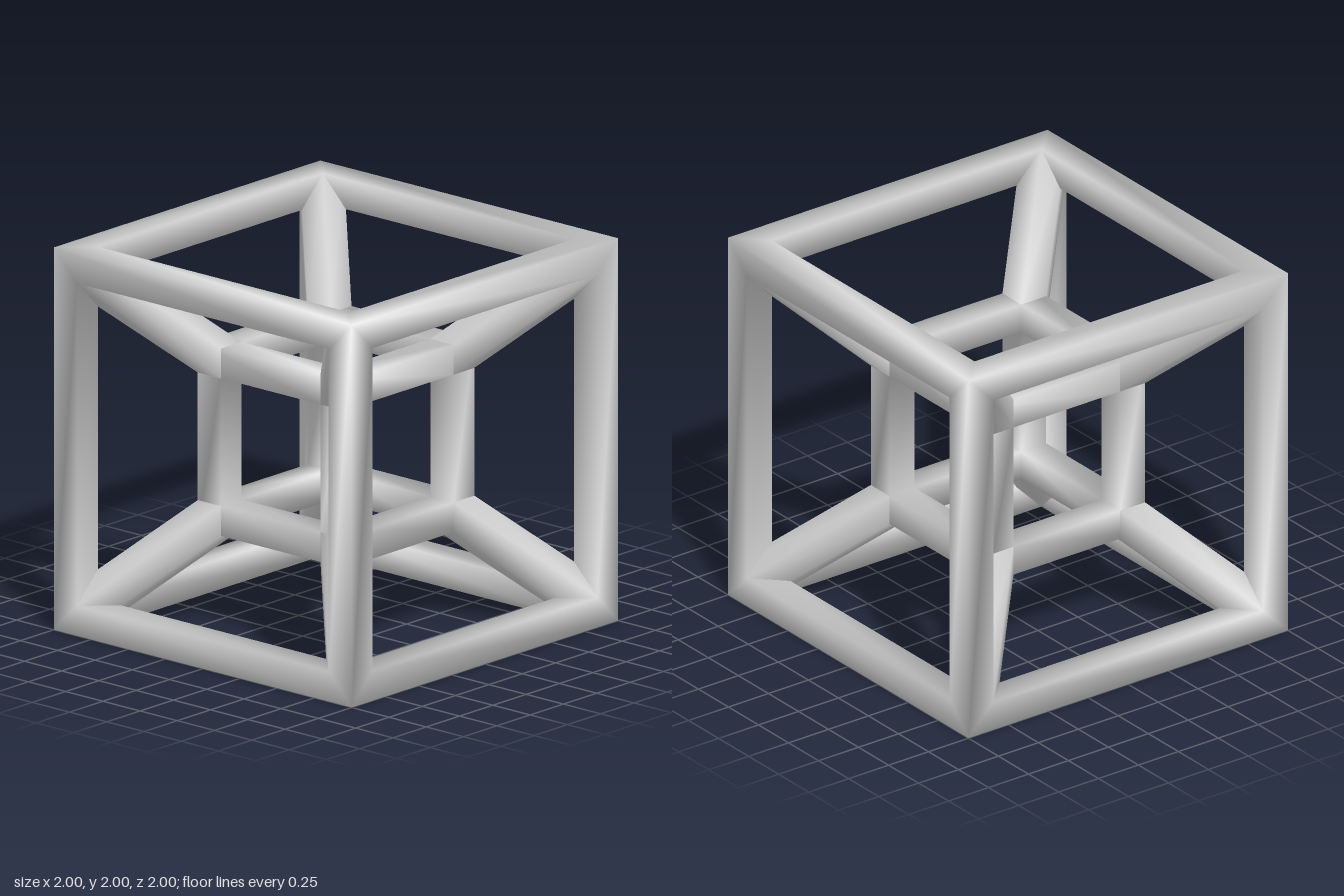
import * as THREE from 'three';
import { mergeVertices } from 'three/addons/utils/BufferGeometryUtils.js';

const BAR = 0.156;      // bar thickness
const OUTER = 1;        // half size of the outer cube
const INNER = 0.49;     // half size of the inner cube
const SIGNS = [-1, 1];

// Adds the side walls between two matching rings, facing outwards
function addWalls(out, ringA, ringB) {
  const n = ringA.length;
  const centre = new THREE.Vector3();
  [...ringA, ...ringB].forEach((p) => centre.addScaledVector(p, 0.5 / n));
  for (let i = 0; i < n; i++) {
    const j = (i + 1) % n;
    const quad = [ringA[i], ringA[j], ringB[j], ringB[i]];
    const normal = quad[2].clone().sub(quad[0]).cross(quad[3].clone().sub(quad[1]));
    const mid = quad[0].clone().add(quad[2]).multiplyScalar(0.5).sub(centre);
    if (normal.dot(mid) < 0) quad.reverse();
    for (const k of [0, 1, 2, 0, 2, 3]) out.push(...quad[k].toArray());
  }
}

// Shared corners give soft shading across the square bars
function smoothGeometry(positions) {
  const geo = new THREE.BufferGeometry();
  geo.setAttribute('position', new THREE.Float32BufferAttribute(positions, 3));
  const merged = mergeVertices(geo, 1e-4);
  merged.computeVertexNormals();
  return merged;
}

// Twelve mitred square bars along the edges of a cube
function cubeFrame(b) {
  const a = b - BAR;
  const out = [];
  for (let axis = 0; axis < 3; axis++) {
    for (const su of SIGNS) for (const sv of SIGNS) {
      const ring = (end) => [[b, b], [a, b], [a, a], [b, a]].map(([u, v], i) => {
        const p = new THREE.Vector3();
        p.setComponent(axis, end * (i === 0 ? b : a));
        p.setComponent((axis + 1) % 3, su * u);
        p.setComponent((axis + 2) % 3, sv * v);
        return p;
      });
      addWalls(out, ring(-1), ring(1));
    }
  }
  return smoothGeometry(out);
}

// Six-sided strut joining matching corners of the two cubes
function strut(sx, sy, sz) {
  const steps = [[1, 0, 0], [1, 1, 0], [0, 1, 0], [0, 1, 1], [0, 0, 1], [1, 0, 1]];
  const ring = (b) => steps.map(([x, y, z]) => new THREE.Vector3(
    sx * (b - BAR + x * BAR), sy * (b - BAR + y * BAR), sz * (b - BAR + z * BAR)));
  const out = [];
  addWalls(out, ring(INNER), ring(OUTER));
  return smoothGeometry(out);
}

export function createModel() {
  const grey = new THREE.MeshStandardMaterial({ color: 0xcccccc });
  grey.name = 'light grey';
  const model = new THREE.Group();
  model.name = 'nestedCubeFrame';
  const add = (geo, name) => {
    const mesh = new THREE.Mesh(geo, grey);
    mesh.name = name;
    mesh.position.y = OUTER;
    model.add(mesh);
  };

  add(cubeFrame(OUTER), 'outerCubeFrame');
  add(cubeFrame(INNER), 'innerCubeFrame');

  // Diagonal struts at all eight corners
  for (const x of SIGNS) for (const y of SIGNS) for (const z of SIGNS) {
    const name = `${y > 0 ? 'top' : 'bottom'}${z > 0 ? 'Front' : 'Back'}${x > 0 ? 'Left' : 'Right'}Strut`;
    add(strut(x, y, z), name);
  }
  return model;
}
